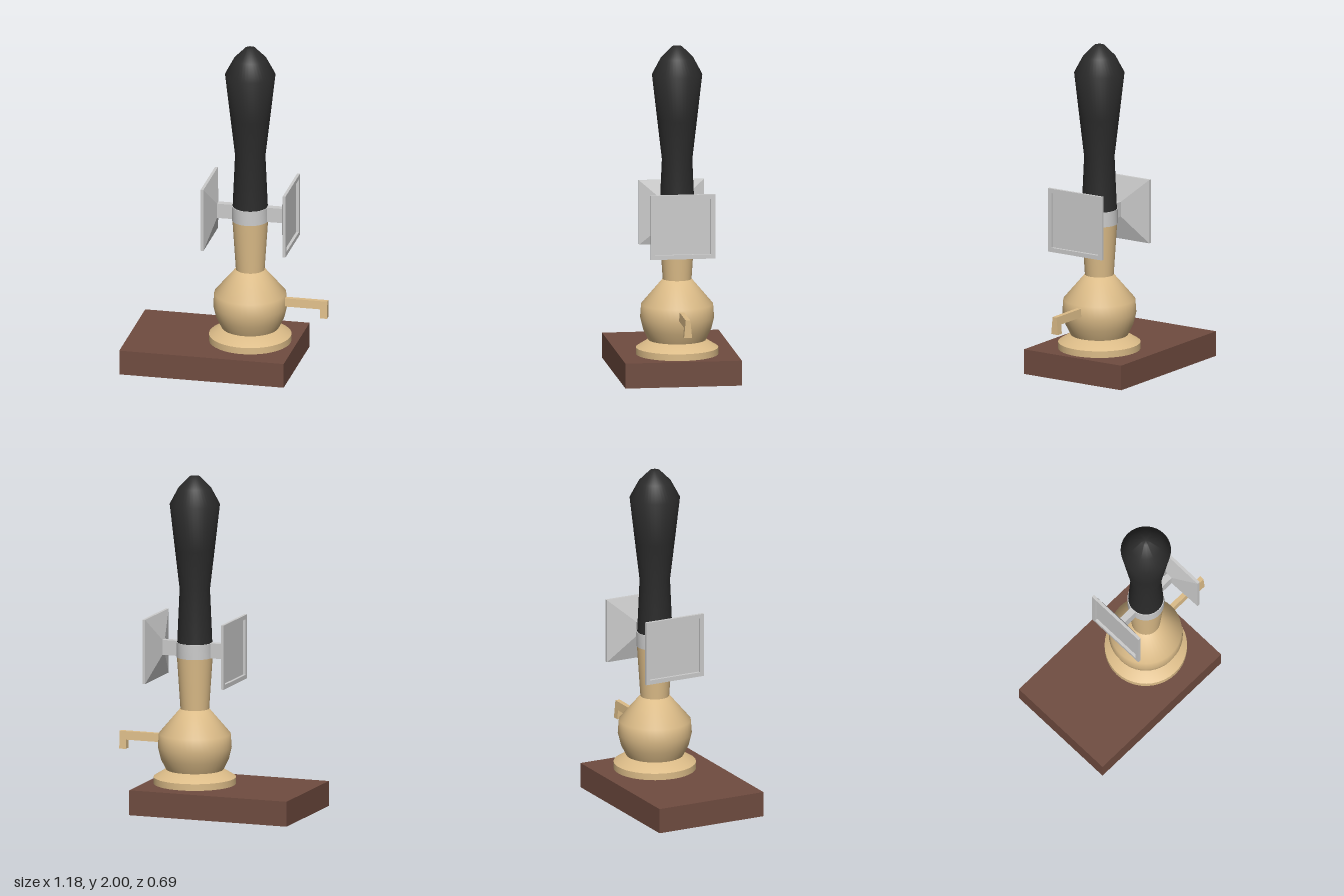
import * as THREE from 'three';
import { toCreasedNormals } from 'three/addons/utils/BufferGeometryUtils.js';

const AXIS_X = 0.12; // vertical axis of the turned parts
const PADDLE_Y = 0.957;

const brass = new THREE.MeshStandardMaterial({ color: 0xdcbc88 });
const wood = new THREE.MeshStandardMaterial({ color: 0x704c40 });
const black = new THREE.MeshStandardMaterial({ color: 0x2b2b2b });
const grey = new THREE.MeshStandardMaterial({ color: 0xcccccc });

function add(parent, name, geometry, material, x = 0, y = 0, z = 0) {
  const mesh = new THREE.Mesh(geometry, material);
  mesh.name = name;
  mesh.position.set(x, y, z);
  parent.add(mesh);
  return mesh;
}

// Turned part from [radius, height] pairs, bottom to top
function turned(points, crease = 0.6) {
  const profile = points.map(([r, y]) => new THREE.Vector2(r, y));
  return toCreasedNormals(new THREE.LatheGeometry(profile, 40), crease);
}

function square(Type, half) {
  const path = new Type();
  path.moveTo(-half, -half).lineTo(half, -half).lineTo(half, half).lineTo(-half, half).closePath();
  return path;
}

// Stem, flared pyramid and rimmed square plate, pointing along +x
function createPaddle(name) {
  const paddle = new THREE.Group();
  paddle.name = name;
  const half = 0.193;
  add(paddle, 'paddleStem', new THREE.BoxGeometry(0.14, 0.09, 0.04), grey, 0.13);

  const flare = new THREE.BoxGeometry(0.043, 2 * half, 2 * half);
  const p = flare.attributes.position;
  for (let i = 0; i < p.count; i++) {
    if (p.getX(i) < 0) {
      p.setY(i, Math.sign(p.getY(i)) * 0.045);
      p.setZ(i, Math.sign(p.getZ(i)) * 0.02);
    }
  }
  flare.computeVertexNormals();
  add(paddle, 'paddleFlare', flare, grey, 0.2185);

  const rim = square(THREE.Shape, half);
  rim.holes.push(square(THREE.Path, 0.167));
  const rimGeometry = new THREE.ExtrudeGeometry(rim, { depth: 0.017, bevelEnabled: false });
  rimGeometry.rotateY(Math.PI / 2);
  add(paddle, 'paddleRim', rimGeometry, grey, 0.24);
  return paddle;
}

// Hooked spout, narrower along its top edge
function createSpoutGeometry() {
  const outline = new THREE.Shape([
    [0.28, 0.385], [0.548, 0.385], [0.548, 0.33], [0.59, 0.33], [0.59, 0.435], [0.28, 0.435],
  ].map(([x, y]) => new THREE.Vector2(x, y)));
  const geometry = new THREE.ExtrudeGeometry(outline, { depth: 2, bevelEnabled: false });
  geometry.translate(0, 0, -1);
  const p = geometry.attributes.position;
  for (let i = 0; i < p.count; i++) {
    const t = (p.getY(i) - 0.33) / 0.105;
    p.setZ(i, p.getZ(i) * THREE.MathUtils.lerp(0.024, 0.014, t));
  }
  geometry.computeVertexNormals();
  return geometry;
}

export function createModel() {
  const model = new THREE.Group();
  model.name = 'tapHandle';

  add(model, 'base', new THREE.BoxGeometry(0.996, 0.15, 0.695), wood, -0.097, 0.075);

  // Turned column
  const column = new THREE.Group();
  column.name = 'column';
  column.position.x = AXIS_X;
  model.add(column);
  add(column, 'foot', turned([[0, 0.15], [0.244, 0.15], [0.244, 0.19], [0.17, 0.236], [0, 0.236]]), brass);
  add(column, 'bulb', turned(
    [[0.17, 0.235], [0.202, 0.3], [0.219, 0.37], [0.213, 0.45], [0.086, 0.6], [0, 0.6]], 0.9), brass);
  add(column, 'neck', turned([[0.085, 0.595], [0.106, 0.912]]), brass);
  add(column, 'collar', turned([[0, 0.911], [0.109, 0.911], [0.109, 1.0], [0, 1.0]]), grey);
  add(column, 'handle', turned([
    [0.104, 1.0], [0.09, 1.32], [0.118, 1.56], [0.149, 1.83],
    [0.096, 1.93], [0.03, 1.997], [0, 2.0],
  ], 1.2), black);

  // Opposed paddles on the collar
  const leftPaddle = createPaddle('leftPaddle');
  const rightPaddle = createPaddle('rightPaddle');
  rightPaddle.rotation.y = Math.PI;
  for (const paddle of [leftPaddle, rightPaddle]) {
    paddle.position.y = PADDLE_Y;
    column.add(paddle);
  }

  add(model, 'spout', createSpoutGeometry(), brass);
  return model;
}
